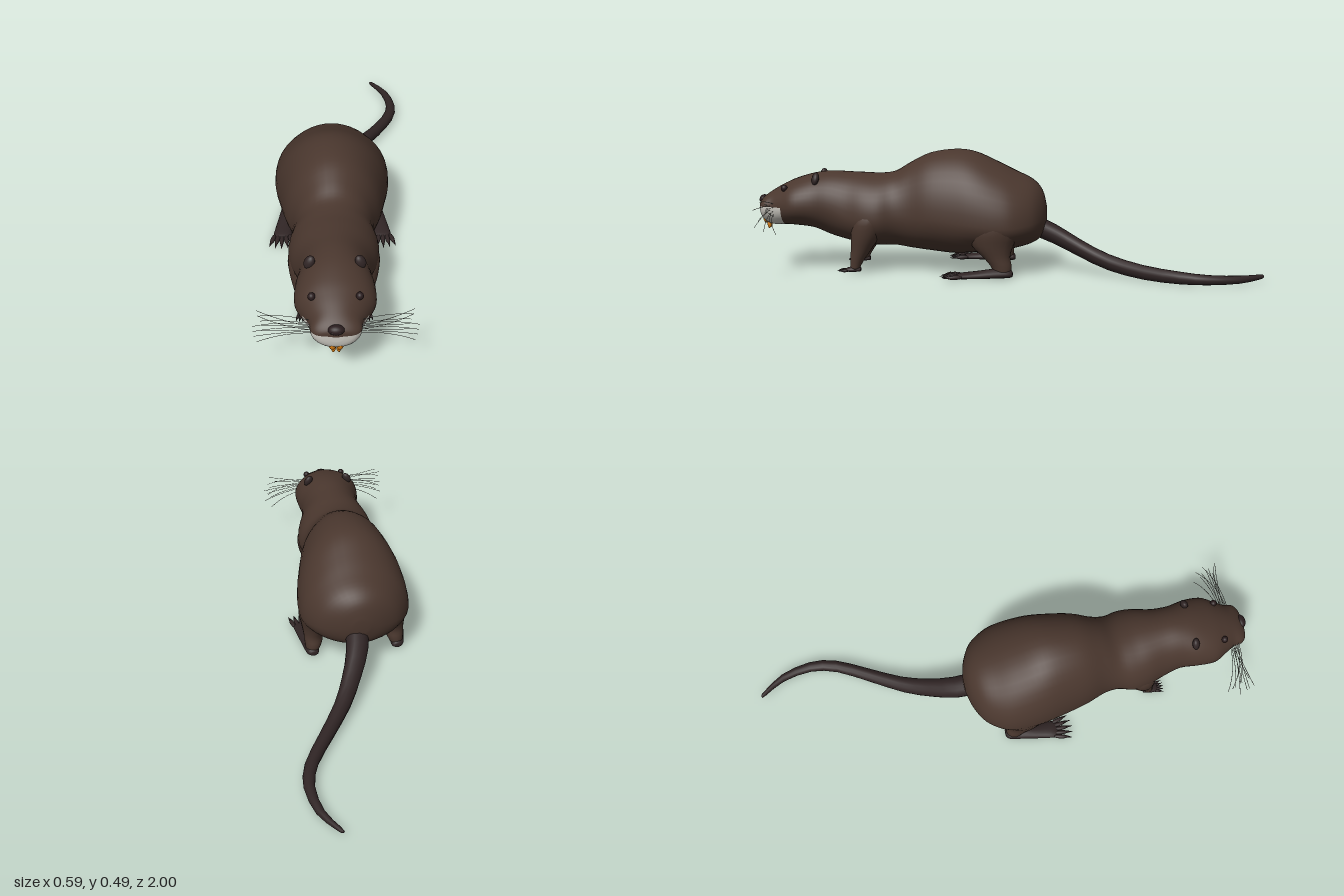
import * as THREE from 'three';

const mat = (name, color) => Object.assign(new THREE.MeshStandardMaterial({ color }), { name });

// Joins rings of points into a closed skin; quads chosen by isSecond go to a second material group
function loft(rings, isSecond = () => false) {
  const n = rings[0].length, pos = [], lists = [[], []];
  rings.forEach(r => r.forEach(p => pos.push(p.x, p.y, p.z)));
  for (let i = 0; i < rings.length - 1; i++) for (let j = 0; j < n; j++) {
    const k = (j + 1) % n, a = i * n + j, b = i * n + k;
    lists[isSecond(rings[i][j], rings[i + 1][k], j, n) ? 1 : 0].push(a, b, b + n, a, b + n, a + n);
  }
  [0, rings.length - 1].forEach(i => {
    const c = new THREE.Vector3(), centre = pos.length / 3;
    rings[i].forEach(p => c.addScaledVector(p, 1 / n));
    pos.push(c.x, c.y, c.z);
    for (let j = 0; j < n; j++) {
      const a = i * n + j, b = i * n + (j + 1) % n;
      const second = isSecond(rings[i][j], rings[i][j], j, n) ? 1 : 0;
      lists[second].push(centre, ...(i ? [a, b] : [b, a]));
    }
  });
  const g = new THREE.BufferGeometry();
  g.setAttribute('position', new THREE.Float32BufferAttribute(pos, 3));
  g.setIndex([...lists[0], ...lists[1]]);
  g.addGroup(0, lists[0].length, 0);
  if (lists[1].length) g.addGroup(lists[0].length, lists[1].length, 1);
  g.computeVertexNormals();
  return g;
}

const circle = (n, f) => Array.from({ length: n }, (_, j) => {
  const a = j / n * Math.PI * 2;
  return f(Math.cos(a), Math.sin(a));
});

// Upright ring: z, top, bottom, height of widest line, half width, centre x
const zRing = ([z, top, bot, wide, hw, cx = 0], n) => circle(n, (c, s) =>
  new THREE.Vector3(cx + hw * c, wide + s * (s > 0 ? top - wide : wide - bot), z));

// Level ring: y, centre x, centre z, half width, half depth
const yRing = ([y, cx, cz, rx, rz], n) => circle(n, (c, s) =>
  new THREE.Vector3(cx + rx * c, y, cz - rz * s));

// Catmull-Rom smoothing of a table of ring values
function smooth(rows, steps) {
  const out = [], last = rows.length - 1;
  for (let i = 0; i < last; i++) for (let k = 0; k < steps; k++) {
    const t = k / steps, at = d => rows[Math.min(last, Math.max(0, i + d))];
    out.push(rows[i].map((b, m) => {
      const a = at(-1)[m], c = at(1)[m], d = at(2)[m];
      return b + 0.5 * t * (c - a + t * (2 * a - 5 * b + 4 * c - d + t * (3 * (b - c) + d - a)));
    }));
  }
  return [...out, rows[last]];
}

export function createModel() {
  const fur = mat('brown fur', 0x4a372e), skin = mat('dark skin', 0x302525);
  const white = mat('white muzzle', 0xcbc8c0), orange = mat('orange teeth', 0xd27a14);
  const black = mat('eye and nose', 0x2a1d1e), grey = mat('whisker grey', 0x77776f);

  const model = new THREE.Group();
  const animal = new THREE.Group();
  animal.name = 'animal';
  animal.position.x = -0.012;
  model.add(animal);
  const add = (name, geo, material, pos = [0, 0, 0], scale = [1, 1, 1], rot = [0, 0, 0]) => {
    const m = new THREE.Mesh(geo, material);
    m.name = name;
    m.position.set(...pos);
    m.scale.set(...scale);
    m.rotation.set(...rot);
    animal.add(m);
    return m;
  };
  const ball = new THREE.SphereGeometry(1, 20, 14);

  // Body, neck and head in one skin, with the lower snout white
  const body = [
    [-0.167, 0.26, 0.2, 0.23, 0.03], [-0.15, 0.325, 0.145, 0.22, 0.095],
    [-0.11, 0.37, 0.115, 0.21, 0.165], [-0.04, 0.405, 0.095, 0.2, 0.212],
    [0.03, 0.44, 0.085, 0.2, 0.225], [0.12, 0.48, 0.075, 0.21, 0.22],
    [0.2, 0.49, 0.07, 0.22, 0.205], [0.3, 0.475, 0.08, 0.23, 0.183],
    [0.38, 0.437, 0.09, 0.23, 0.155], [0.44, 0.402, 0.1, 0.23, 0.15],
    [0.5, 0.392, 0.1, 0.22, 0.165], [0.56, 0.394, 0.105, 0.22, 0.16],
    [0.63, 0.397, 0.12, 0.23, 0.138], [0.7, 0.4, 0.14, 0.26, 0.127],
    [0.77, 0.392, 0.17, 0.268, 0.138], [0.84, 0.372, 0.18, 0.265, 0.138],
    [0.89, 0.35, 0.182, 0.262, 0.112], [0.93, 0.328, 0.18, 0.262, 0.09],
    [0.965, 0.305, 0.19, 0.262, 0.084], [0.985, 0.285, 0.212, 0.262, 0.062],
    [0.991, 0.272, 0.238, 0.262, 0.025],
  ];
  const snout = (p, q, j, n) => j >= n / 2 && Math.min(p.z, q.z) > 0.889;
  add('body', loft(smooth(body, 4).map(r => zRing(r, 40)), snout), [fur, white]);

  // Tail: tip to base, drooping to the ground and swinging sideways
  const tail = [
    [-1.0, 0.2, 0.022, 0.006], [-0.98, 0.213, 0.022, 0.01], [-0.9, 0.262, 0.022, 0.015],
    [-0.78, 0.285, 0.024, 0.019], [-0.67, 0.262, 0.027, 0.024], [-0.54, 0.19, 0.032, 0.028],
    [-0.41, 0.11, 0.055, 0.032], [-0.3, 0.055, 0.1, 0.036], [-0.2, 0.017, 0.15, 0.041],
    [-0.08, 0.0, 0.2, 0.044],
  ];
  add('tail', loft(smooth(tail, 2).map(([z, x, y, r]) =>
    zRing([z, y + r, Math.max(0.002, y - r), y, r * 1.08, x], 14))), skin);

  // Nose with nostrils
  add('nose', ball, black, [0, 0.283, 0.981], [0.028, 0.018, 0.019]);

  for (const s of [-1, 1]) {
    const side = s > 0 ? 'left' : 'right';
    add(side + 'Nostril', ball, skin, [s * 0.012, 0.28, 0.995], [0.006, 0.005, 0.004]);
    add(side + 'Eye', ball, black, [s * 0.08, 0.337, 0.879], [0.013, 0.014, 0.013]);
    add(side + 'Ear', ball, skin, [s * 0.087, 0.376, 0.752], [0.018, 0.026, 0.014], [-0.3, s * 0.4, s * 0.5]);

    // Incisors
    add(side + 'UpperTooth', ball, orange, [s * 0.0125, 0.207, 0.971], [0.0125, 0.02, 0.014]);
    add(side + 'LowerTooth', ball, orange, [s * 0.008, 0.182, 0.962], [0.007, 0.018, 0.008], [0, 0, s * 0.12]);

    // Whiskers fan out from the snout
    for (let i = 0; i < 10; i++) {
      const t = i / 9, tipY = 0.18 + 0.125 * t, z = 0.925 + 0.025 * (i % 3) / 2;
      const curve = new THREE.QuadraticBezierCurve3(
        new THREE.Vector3(s * 0.08, 0.232 + 0.04 * t, z),
        new THREE.Vector3(s * 0.18, 0.22 + 0.08 * t, z - 0.005),
        new THREE.Vector3(s * (0.25 + 0.025 * ((i * 2) % 3) / 2), tipY, 0.875 + 0.09 * ((i * 4) % 10) / 9));
      add(side + 'Whisker', new THREE.TubeGeometry(curve, 8, 0.0011, 4), grey);
    }

    // Legs, from ankle up into the body
    const hind = [
      [0.02, 0.175, 0.005, 0.028, 0.034], [0.05, 0.17, 0.012, 0.036, 0.042],
      [0.085, 0.167, 0.03, 0.042, 0.055], [0.13, 0.157, 0.045, 0.06, 0.085],
      [0.19, 0.147, 0.04, 0.078, 0.11], [0.26, 0.13, 0.03, 0.078, 0.105], [0.32, 0.11, 0.03, 0.045, 0.06],
    ];
    const fore = [
      [0.02, 0.115, 0.595, 0.018, 0.018], [0.05, 0.112, 0.588, 0.025, 0.026],
      [0.1, 0.106, 0.57, 0.042, 0.042], [0.16, 0.107, 0.55, 0.056, 0.06],
      [0.22, 0.107, 0.535, 0.059, 0.068], [0.28, 0.095, 0.52, 0.045, 0.05],
    ];
    [['HindLeg', hind], ['ForeLeg', fore]].forEach(([name, rows]) =>
      add(side + name, loft(smooth(rows, 3).map(([y, x, ...r]) => yRing([y, s * x, ...r], 20))), fur));

    // Feet
    const hindFoot = [
      [-0.035, 0.024, 0.006, 0.015, 0.012, 0.175], [-0.02, 0.036, 0.002, 0.016, 0.026, 0.177],
      [0.04, 0.038, 0.001, 0.015, 0.03, 0.185], [0.11, 0.03, 0.001, 0.013, 0.033, 0.195],
      [0.165, 0.024, 0.002, 0.012, 0.036, 0.2], [0.185, 0.016, 0.005, 0.011, 0.024, 0.202],
    ];
    const foreFoot = [
      [0.572, 0.026, 0.01, 0.017, 0.012, 0.115], [0.59, 0.032, 0.008, 0.017, 0.018, 0.115],
      [0.62, 0.026, 0.008, 0.016, 0.02, 0.115], [0.635, 0.02, 0.01, 0.015, 0.012, 0.115],
    ];
    [['HindFoot', hindFoot], ['ForeFoot', foreFoot]].forEach(([name, rows]) =>
      add(side + name, loft(smooth(rows, 3).map(r => zRing([...r.slice(0, 5), s * r[5]], 16))), skin));

    // Toes and claws: centre x, start z, height, toe length, spread, thickness
    const toes = (name, x, z, y, len, spread, r) => {
      for (let i = -2; i <= 2; i++) {
        const turn = i * 0.14, reach = len * (1 - 0.07 * Math.abs(i));
        const along = d => [s * x + i * spread + Math.sin(turn) * d, y, z + Math.cos(turn) * d];
        add(side + name + 'Toe', ball, skin, along(reach * 0.4), [r, r * 0.95, reach * 0.55], [0, turn, 0]);
        const claw = new THREE.ConeGeometry(r * 0.65, reach * 0.5, 8).rotateX(Math.PI / 2 + 0.15);
        add(side + name + 'Claw', claw, black, along(reach * 1.08), [1, 1, 1], [0, turn, 0]);
      }
    };
    toes('Hind', 0.202, 0.165, 0.013, 0.064, 0.0145, 0.009);
    toes('Fore', 0.115, 0.622, 0.014, 0.033, 0.0075, 0.0055);
  }
  // The tail swings in world position, so undo the animal's small sideways shift
  animal.getObjectByName('tail').position.x = 0.006;
  return model;
}
